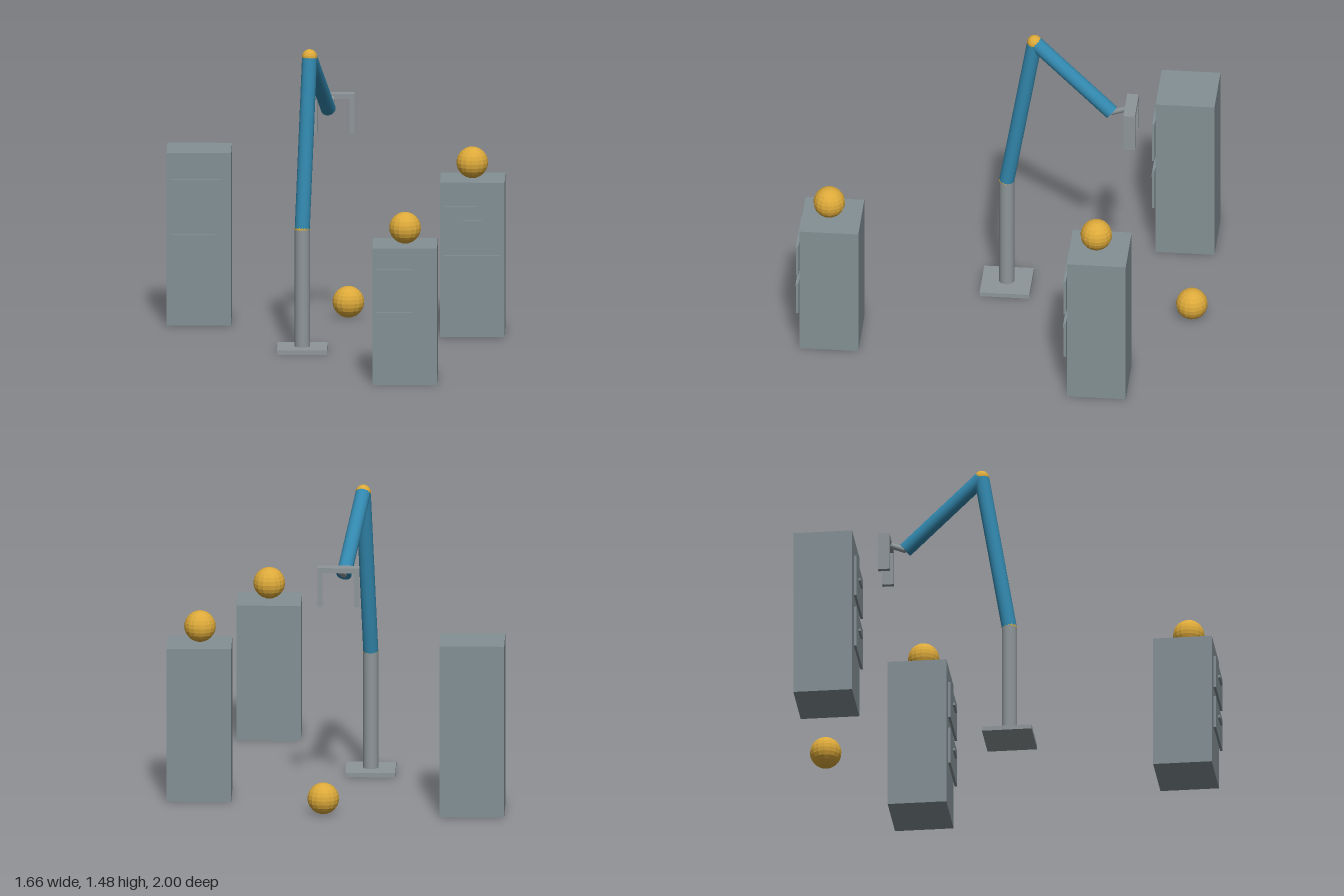
import * as THREE from 'three';

export function createModel() {
  const root = new THREE.Group();
  root.name = 'robotArmScene';

  const material = (name, color, extra = {}) => {
    const m = new THREE.MeshStandardMaterial({ color, ...extra });
    m.name = name;
    return m;
  };
  const cabinetGrey = material('cabinetGrey', 0x839094);
  const metalGrey = material('metalGrey', 0x8e9699);
  const armBlue = material('armBlue', 0x3287ad);
  const ballYellow = material('ballYellow', 0xdca93a, { flatShading: true });

  const add = (parent, name, geometry, mat, x, y, z) => {
    const mesh = new THREE.Mesh(geometry, mat);
    mesh.name = name;
    mesh.position.set(x, y, z);
    parent.add(mesh);
    return mesh;
  };
  const box = (parent, name, mat, w, h, d, x, y, z) =>
    add(parent, name, new THREE.BoxGeometry(w, h, d), mat, x, y, z);
  const ball = (parent, name, r, x, y, z) =>
    add(parent, name, new THREE.SphereGeometry(r, 16, 12), ballYellow, x, y, z);

  // Cylinder running between two points
  const rod = (parent, name, mat, from, to, r) => {
    const dir = to.clone().sub(from);
    const mid = from.clone().add(to).multiplyScalar(0.5);
    const mesh = add(parent, name, new THREE.CylinderGeometry(r, r, dir.length(), 24), mat, mid.x, mid.y, mid.z);
    mesh.quaternion.setFromUnitVectors(new THREE.Vector3(0, 1, 0), dir.normalize());
  };

  // Two-drawer cabinets: the fronts scale with the height
  const cabinet = (name, x, z, h) => {
    const g = new THREE.Group();
    g.name = name;
    g.position.set(x, 0, z);
    box(g, 'body', cabinetGrey, 0.317, h, 0.29, 0, h / 2, 0);
    for (const level of [0.407, 0.726]) {
      box(g, 'drawerFront', cabinetGrey, 0.28, h * 0.247, 0.012, 0, h * level, 0.158);
      box(g, 'drawerHandle', cabinetGrey, 0.095, 0.013, 0.011, 0, h * (level + 0.025), 0.1695);
    }
    root.add(g);
  };
  cabinet('tallCabinet', -0.674, -0.835, 0.86);
  cabinet('middleCabinet', 0.673, -0.523, 0.77);
  cabinet('shortCabinet', 0.359, 0.825, 0.68);

  // Loose balls, one on the floor and two on cabinets
  const R = 0.078;
  ball(root, 'floorBall', R, 0.057, 0.079, -0.922);
  ball(root, 'middleCabinetBall', R, 0.671, 0.849, -0.508);
  ball(root, 'shortCabinetBall', R, 0.359, 0.76, 0.838);

  // Jointed arm on a pedestal
  const arm = new THREE.Group();
  arm.name = 'arm';
  root.add(arm);
  const shoulder = new THREE.Vector3(-0.157, 0.605, 0.011);
  const elbow = new THREE.Vector3(-0.123, 1.44, -0.13);
  const wrist = new THREE.Vector3(-0.036, 1.112, -0.518);
  const palm = new THREE.Vector3(-0.011, 1.162, -0.616);
  box(arm, 'basePlate', metalGrey, 0.245, 0.022, 0.245, -0.157, 0.011, 0.011);
  rod(arm, 'pedestal', metalGrey, new THREE.Vector3(-0.157, 0.02, 0.011), shoulder, 0.0375);
  ball(arm, 'shoulderJoint', 0.0375, shoulder.x, shoulder.y, shoulder.z);
  rod(arm, 'upperArm', armBlue, shoulder, elbow, 0.037);
  ball(arm, 'elbowJoint', 0.038, elbow.x, elbow.y, elbow.z);
  rod(arm, 'forearm', armBlue, elbow, wrist, 0.037);
  rod(arm, 'wristLink', metalGrey, wrist, palm, 0.014);

  // Gripper: crossbar with two hanging fingers
  box(arm, 'gripperBar', metalGrey, 0.206, 0.025, 0.057, palm.x, palm.y, palm.z);
  for (const side of [-1, 1]) {
    box(arm, 'gripperFinger', metalGrey, 0.025, 0.17, 0.057, palm.x + side * 0.0905, 1.065, palm.z);
  }

  return root;
}
